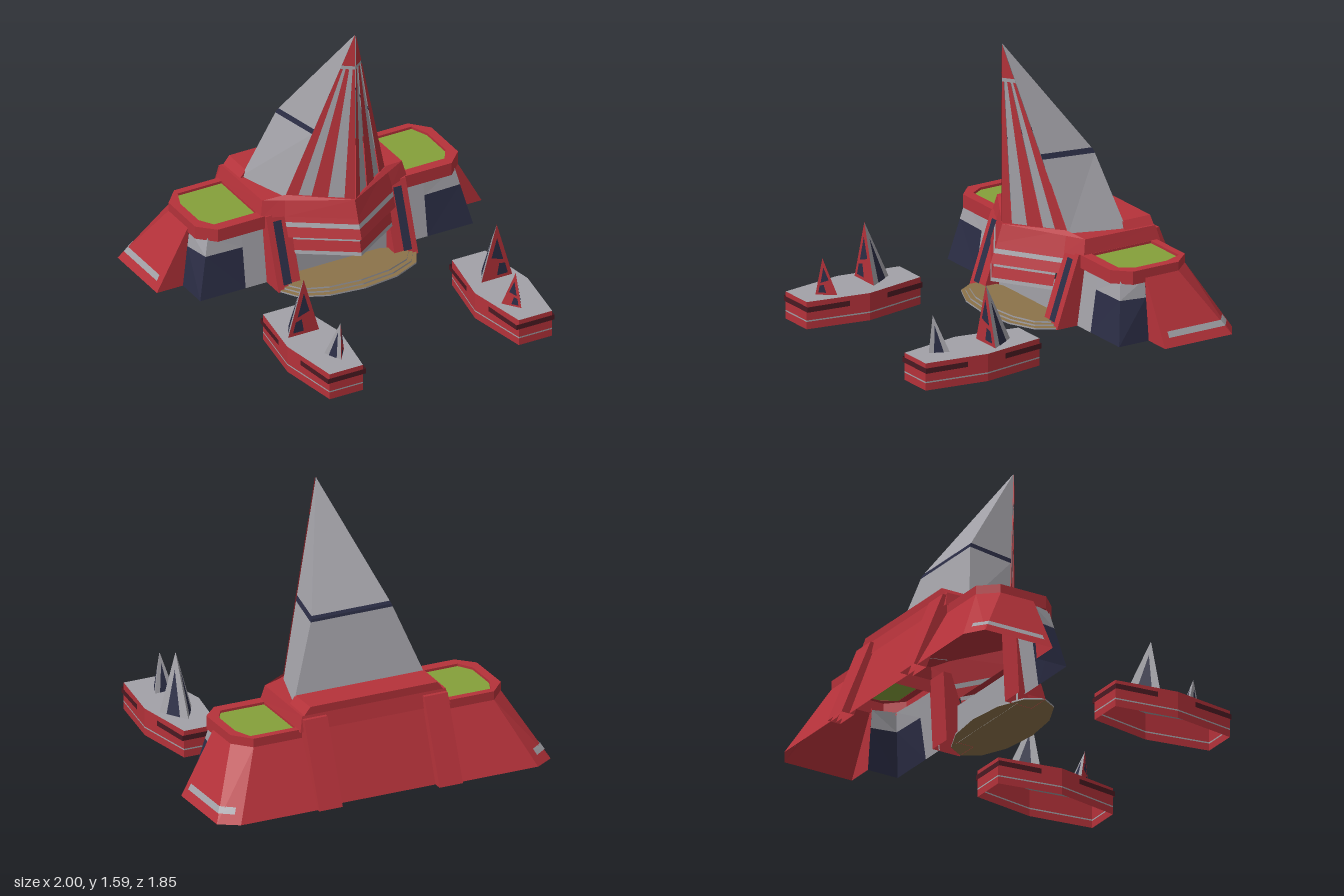
import * as THREE from 'three';

const mat = (name, color) => {
  const m = new THREE.MeshStandardMaterial({ color, flatShading: true, side: THREE.DoubleSide });
  m.name = name;
  return m;
};

export function createModel() {
  const root = new THREE.Group();
  const red = mat('red', 0xb5323a), gray = mat('gray', 0xa2a1a7), navy = mat('navy', 0x2b2d45);
  const green = mat('green', 0x85a03a), tan = mat('tan', 0x8c734a), maroon = mat('maroon', 0x4a1a22);

  const add = (name, material, geo, parent = root) => {
    const m = new THREE.Mesh(geo, material);
    m.name = name;
    parent.add(m);
    return m;
  };
  const lerp = (a, b, t) => a.map((v, i) => v + (b[i] - v) * t);
  const fromTriangles = (p) => {
    const g = new THREE.BufferGeometry();
    g.setAttribute('position', new THREE.Float32BufferAttribute(p.flat(), 3));
    g.computeVertexNormals();
    return g;
  };
  // Skin between successive rows of points
  const loft = (rows, closed = false) => {
    const p = [];
    for (let r = 0; r + 1 < rows.length; r++) {
      const a = rows[r], b = rows[r + 1], n = a.length;
      for (let i = 0; i < (closed ? n : n - 1); i++) {
        const j = (i + 1) % n;
        p.push(a[i], a[j], b[j], a[i], b[j], b[i]);
      }
    }
    return fromTriangles(p);
  };
  const fan = (pts) => {
    const p = [];
    for (let i = 1; i + 1 < pts.length; i++) p.push(pts[0], pts[i], pts[i + 1]);
    return fromTriangles(p);
  };
  const ring = (pts, y) => pts.map(([x, z]) => [x, y, z]);
  // Polygon on triangle (a, b, apex): u runs a to b, v runs base to apex
  const patch = (a, b, apex, uv, off = 0, centre = [0, 0.8, -0.4]) => {
    const n = new THREE.Vector3(...b).sub(new THREE.Vector3(...a))
      .cross(new THREE.Vector3(...apex).sub(new THREE.Vector3(...a))).normalize();
    if (n.dot(new THREE.Vector3(...a).sub(new THREE.Vector3(...centre))) < 0) n.negate();
    const d = n.toArray();
    return fan(uv.map(([u, v]) => lerp(lerp(a, b, u), apex, v).map((c, i) => c + d[i] * off)));
  };

  // Spire sides and back, with a navy band
  const spire = new THREE.Group();
  spire.name = 'spire';
  root.add(spire);
  const level = (y) => {
    const t = (1.59 - y) / 1.02, f = (y - 0.57) / 0.4, g = (y - 0.97) / 0.62;
    const bx = y < 0.97 ? 0.39 - 0.15 * f : 0.24 * (1 - g);
    const bz = y < 0.97 ? -0.55 + 0.1 * f : -0.45 + 0.43 * g;
    const fz = -0.02 - 0.22 * t;
    return [[0.3 * t, y, fz], [bx, y, bz], [-bx, y, bz], [-0.3 * t, y, fz]];
  };
  add('spireLowerShell', gray, loft([0.55, 0.955].map(level)), spire);
  add('spireBand', navy, loft([0.955, 0.97, 0.985].map(level)), spire);
  add('spireUpperShell', gray, loft([0.985, 1.59].map(level)), spire);

  // Striped spire front, two walls meeting at the ridge
  const stripes = [0, 0.15, 0.39, 0.63, 0.82, 1];
  for (const s of [1, -1]) {
    const a = [0, 0.57, -0.02], b = [0.3 * s, 0.57, -0.24], apex = [0, 1.59, -0.02];
    for (let i = 0; i < 5; i++) {
      const u = stripes[i], w = stripes[i + 1];
      add('spireStripe', i % 2 ? gray : red,
        patch(a, b, apex, [[u, 0], [w, 0], [w, 0.79], [u, 0.79]], i % 2 ? 0 : 0.006), spire);
    }
    add('spireCollar', gray, patch(a, b, apex, [[0, 0.785], [1, 0.785], [1, 0.81], [0, 0.81]], 0.002), spire);
    add('spireTip', red, patch(a, b, apex, [[0, 0.81], [1, 0.81], [0, 1]], 0.006), spire);
  }

  // Central block with a V-shaped front
  const mirrorRow = (pts) => [...pts, ...pts.slice(1).reverse().map(([x, y, z]) => [-x, y, z])];
  const blockBase = mirrorRow([[0, 0.46, 0.014], [0.33, 0.46, -0.2], [0.45, 0.46, -0.25], [0.45, 0.46, -0.74]]);
  const blockTop = mirrorRow([[0, 0.56, -0.02], [0.31, 0.575, -0.23], [0.43, 0.552, -0.27], [0.43, 0.545, -0.72]]);
  add('centralBlock', red, loft([blockBase, blockTop], true));
  add('centralRoof', red, fan(blockTop));
  const slab = (k, y) => ring([[-0.4 * k, -0.54], [0.4 * k, -0.54], [0.4 * k, -0.72], [-0.4 * k, -0.72]], y);
  add('roofSlab', red, loft([slab(1.05, 0.54), slab(0.95, 0.59)], true));
  add('roofSlabTop', red, fan(slab(0.95, 0.59)));

  // Two overhanging prow tiers with light stripes
  const vee = (y, tip, w) => [[-w, y, tip - w * 0.66], [0, y, tip], [w, y, tip - w * 0.66]];
  const prow = (name, w, rows) => {
    for (let i = 0; i + 1 < rows.length; i++)
      add(name, rows[i][2], loft([vee(rows[i][0], rows[i][1], w), vee(rows[i + 1][0], rows[i + 1][1], w)]));
  };
  prow('upperProw', 0.33, [[0.47, 0.01, red], [0.43, 0.025, gray], [0.405, 0.035, red], [0.35, 0.055]]);
  prow('lowerProw', 0.3, [[0.35, 0.03, gray], [0.33, 0.035, red], [0.27, 0.05, gray], [0.25, 0.055]]);
  add('upperProwUnderside', red, fan(vee(0.35, 0.055, 0.33)));
  add('lowerProwUnderside', red, fan(vee(0.25, 0.055, 0.3)));
  const wall = add('entranceWall', gray, new THREE.PlaneGeometry(0.62, 0.22));
  wall.position.set(0, 0.18, -0.19);

  // Stepped entrance terrace
  for (let i = 0; i < 3; i++) {
    const step = add('terraceStep', [gray, tan, tan], new THREE.CylinderGeometry(1, 1, 0.009, 12));
    step.scale.set(0.42 - 0.025 * i, 1, 0.19 - 0.025 * i);
    step.position.set(0, 0.076 + 0.011 * i, -0.09);
  }

  // Rear wall between the wings
  add('rearWall', red, loft([
    [[-0.42, 0.07, -0.88], [0.42, 0.07, -0.88]], [[-0.42, 0.5, -0.72], [0.42, 0.5, -0.72]]]));

  for (const s of [1, -1]) {
    const side = new THREE.Group();
    side.name = s > 0 ? 'leftSide' : 'rightSide';
    root.add(side);
    const row = (pts, y) => pts.map(([x, z]) => [x * s, y, z]);
    const between = (A, B, t) => A.map((p, i) => lerp(p, B[i], t));

    // Flared outer wing wall
    const low = row([[0.84, -0.41], [1, -0.41], [1, -0.84], [0.89, -0.91], [0.36, -0.91]], 0.07);
    const high = row([[0.8, -0.41], [0.81, -0.41], [0.81, -0.62], [0.72, -0.72], [0.36, -0.72]], 0.42);
    add('wingWall', red, loft([low, high]), side);
    const trimLine = (y, t) => {
      const l = row([[1.005, -0.45], [1.005, -0.842], [0.93, -0.895]], 0.07);
      const h = row([[0.815, -0.45], [0.815, -0.622], [0.755, -0.692]], 0.42);
      return between(l, h, t);
    };
    add('wingTrim', gray, loft([trimLine(0, 0.14), trimLine(0, 0.23)]), side);

    // Front wing wall with a wraparound navy window
    const fLow = row([[0.42, -0.22], [0.56, -0.22], [0.84, -0.22], [0.84, -0.41]], 0.07);
    const fHigh = row([[0.42, -0.27], [0.56, -0.27], [0.76, -0.28], [0.8, -0.41]], 0.41);
    const fMid = between(fLow, fHigh, 0.7);
    add('wingFrontUpper', gray, loft([fMid, fHigh]), side);
    add('wingFrontInner', gray, loft([fLow.slice(0, 2), fMid.slice(0, 2)]), side);
    add('wingWindow', navy, loft([fLow.slice(1), fMid.slice(1)]), side);

    // Roof rim around a green terrace
    const outer = [[0.42, -0.24], [0.72, -0.24], [0.81, -0.33], [0.81, -0.62], [0.72, -0.72], [0.42, -0.72]];
    const inner = [[0.45, -0.3], [0.71, -0.3], [0.76, -0.38], [0.76, -0.58], [0.72, -0.68], [0.45, -0.68]];
    add('roofRim', red, loft([row(outer, 0.395), row(outer, 0.47), row(inner, 0.47), row(inner, 0.455)], true), side);
    add('greenRoof', green, fan(row(inner, 0.456)), side);

    // Sloping front pillar with a navy inlay
    const foot = row([[0.29, -0.26], [0.29, -0.09], [0.43, -0.09], [0.43, -0.26]], 0.07);
    const head = row([[0.29, -0.28], [0.29, -0.23], [0.43, -0.23], [0.43, -0.28]], 0.47);
    add('frontPillar', red, loft([foot, head], true), side);
    add('frontPillarTop', red, fan(head), side);
    const inlay = [row([[0.345, -0.085], [0.395, -0.085]], 0.07), row([[0.345, -0.225], [0.395, -0.225]], 0.47)];
    add('pillarInlay', navy, loft([between(...inlay, 0.08), between(...inlay, 0.92)]), side);

    // Rear buttress
    const bFoot = row([[0.29, -0.85], [0.29, -0.93], [0.43, -0.93], [0.43, -0.85]], 0.07);
    const bHead = row([[0.29, -0.68], [0.29, -0.745], [0.43, -0.745], [0.43, -0.68]], 0.53);
    add('rearButtress', red, loft([bFoot, bHead], true), side);
    add('rearButtressTop', red, fan(bHead), side);

    // Detached forward platform, hollow below
    const hull = [[0.48, 0.19], [0.685, 0.19], [0.74, 0.555], [0.685, 0.92], [0.48, 0.92], [0.415, 0.555]];
    const bands = [[0, 0.042, red], [0.042, 0.05, gray], [0.05, 0.155, red]];
    for (const [y0, y1, m] of bands) add('platformHull', m, loft([row(hull, y0), row(hull, y1)], true), side);
    add('platformDeck', gray, fan(row(hull, 0.155)), side);
    for (const e of [-1, 1]) {
      const line = [[0.448, 0.25], [0.476, 0.369], [0.689, 0.369], [0.724, 0.25]]
        .map(([x, d], i) => [i < 2 ? x - 0.012 : x + 0.008, 0.555 + e * (i === 0 || i === 3 ? 0.12 : d)]);
      line[0][0] = 0.431;
      line[3][0] = 0.727;
      add('platformStripe', maroon, loft([row(line, 0.1), row(line, 0.13)]), side);
    }

    // Three-sided spikes: one red face, two gray, all with navy panels
    const spike = (name, base, top) => {
      const b = row(base, 0.155), apex = [top[0] * s, top[1], top[2]];
      const c = [0, 1, 2].map((k) => (b[0][k] + b[1][k] + b[2][k]) / 3);
      for (let i = 0; i < 3; i++) {
        const p = b[i], q = b[(i + 1) % 3];
        add(name, i ? gray : red, patch(p, q, apex, [[0, 0], [1, 0], [0, 1]]), side);
        if (i) add(name + 'Panel', navy, patch(p, q, apex, [[0.25, 0], [0.72, 0], [0.5, 0.72]], 0.003, c), side);
        else {
          add(name + 'Panel', navy, patch(p, q, apex, [[0.2, 0.4], [0.8, 0.33], [0.5, 0.75]], 0.003, c), side);
          add(name + 'Panel', navy, patch(p, q, apex, [[0.5, 0.06], [0.87, 0.06], [0.85, 0.25], [0.6, 0.28]], 0.003, c), side);
        }
      }
    };
    spike('tallSpike', [[0.5, 0.475], [0.69, 0.475], [0.595, 0.32]], [0.595, 0.49, 0.475]);
    spike('shortSpike', [[0.485, 0.72], [0.555, 0.815], [0.6, 0.71]], [0.54, 0.36, 0.78]);
  }
  return root;
}
